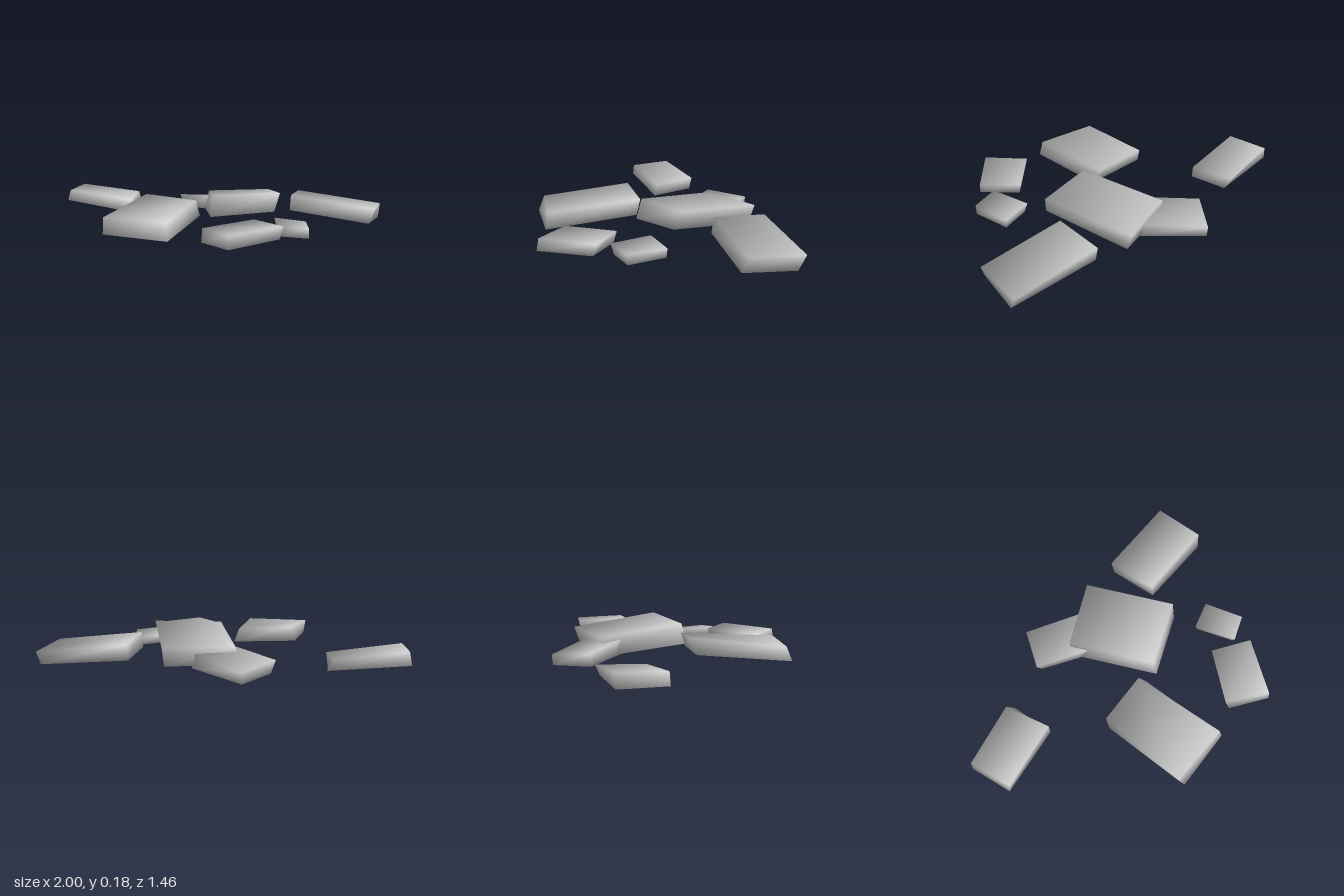
import * as THREE from 'three';

const stone = new THREE.MeshStandardMaterial({ color: 0xcccccc });
stone.name = 'pale grey stone';

// Quads of a slab: corners 0-3 are the top, 4-7 the bottom,
// each going back left, back right, front right, front left seen from above
const QUADS = [
  [3, 2, 1, 0], [4, 5, 6, 7],
  [7, 6, 2, 3], [5, 4, 0, 1],
  [6, 5, 1, 2], [4, 7, 3, 0],
];

// A hewn slab of eight shared corners, softly shaded by averaging its face normals
function slab(name, top, bottom) {
  const pts = [...top, ...bottom].map((p) => new THREE.Vector3(...p));
  const normals = pts.map(() => new THREE.Vector3());
  const index = [];
  for (const [a, b, c, d] of QUADS) {
    const n = pts[c].clone().sub(pts[a]).cross(pts[d].clone().sub(pts[b])).normalize();
    for (const i of [a, b, c, d]) normals[i].add(n);
    index.push(a, b, c, a, c, d);
  }
  const geo = new THREE.BufferGeometry();
  geo.setAttribute('position', new THREE.Float32BufferAttribute(pts.flatMap((p) => p.toArray()), 3));
  geo.setAttribute('normal', new THREE.Float32BufferAttribute(normals.flatMap((n) => n.normalize().toArray()), 3));
  geo.setIndex(index);
  const mesh = new THREE.Mesh(geo, stone);
  mesh.name = name;
  return mesh;
}

export function createModel() {
  const group = new THREE.Group();
  group.name = 'steppingStones';
  group.add(
    // Large tilted slab in the middle
    slab('centreStone',
      [[-0.09, 0.14, -0.45], [0.285, 0.145, -0.555], [0.41, 0.195, -0.03], [0.03, 0.18, 0.05]],
      [[-0.12, 0.04, -0.43], [0.28, 0.04, -0.52], [0.38, 0.09, 0.0], [0.02, 0.06, 0.08]]),
    // Long slab at the front
    slab('frontLongStone',
      [[-0.39, 0.17, -0.02], [-0.08, 0.145, 0.015], [-0.12, 0.11, 0.57], [-0.485, 0.115, 0.5]],
      [[-0.41, 0.08, 0.01], [-0.05, 0.06, 0.05], [-0.11, 0.015, 0.59], [-0.475, 0.03, 0.54]]),
    // Outlying slabs on both sides
    slab('farRightStone',
      [[-0.98, 0.15, -0.545], [-0.6, 0.105, -0.57], [-0.575, 0.085, -0.3], [-0.98, 0.14, -0.29]],
      [[-0.995, 0.075, -0.54], [-0.57, 0.04, -0.54], [-0.585, 0.01, -0.29], [-1.0, 0.075, -0.29]]),
    slab('farLeftStone',
      [[0.485, 0.15, -0.5], [0.995, 0.09, -0.44], [0.955, 0.1, -0.14], [0.46, 0.16, -0.2]],
      [[0.48, 0.06, -0.48], [0.985, 0.01, -0.4], [0.92, 0.015, -0.12], [0.455, 0.07, -0.19]]),
    // Slab tucked under the middle one
    slab('backStone',
      [[-0.14, 0.07, -0.735], [0.14, 0.11, -0.48], [-0.02, 0.125, -0.29], [-0.305, 0.095, -0.55]],
      [[-0.14, 0.01, -0.73], [0.14, 0.02, -0.46], [-0.02, 0.04, -0.29], [-0.28, 0.02, -0.54]]),
    // Small slabs at the front
    slab('frontSmallStone',
      [[0.3, 0.095, 0.3], [0.475, 0.095, 0.47], [0.235, 0.085, 0.715], [0.06, 0.08, 0.52]],
      [[0.3, 0.03, 0.32], [0.46, 0.03, 0.49], [0.23, 0.015, 0.725], [0.06, 0.01, 0.55]]),
    slab('pebbleSlab',
      [[0.395, 0.08, 0.14], [0.57, 0.06, 0.12], [0.6, 0.065, 0.355], [0.44, 0.08, 0.385]],
      [[0.41, 0.025, 0.15], [0.57, 0.01, 0.125], [0.6, 0.01, 0.35], [0.45, 0.02, 0.37]]),
  );

  // Rest the lowest corner on the ground
  const box = new THREE.Box3().setFromObject(group);
  for (const mesh of group.children) mesh.position.y = -box.min.y;
  return group;
}
